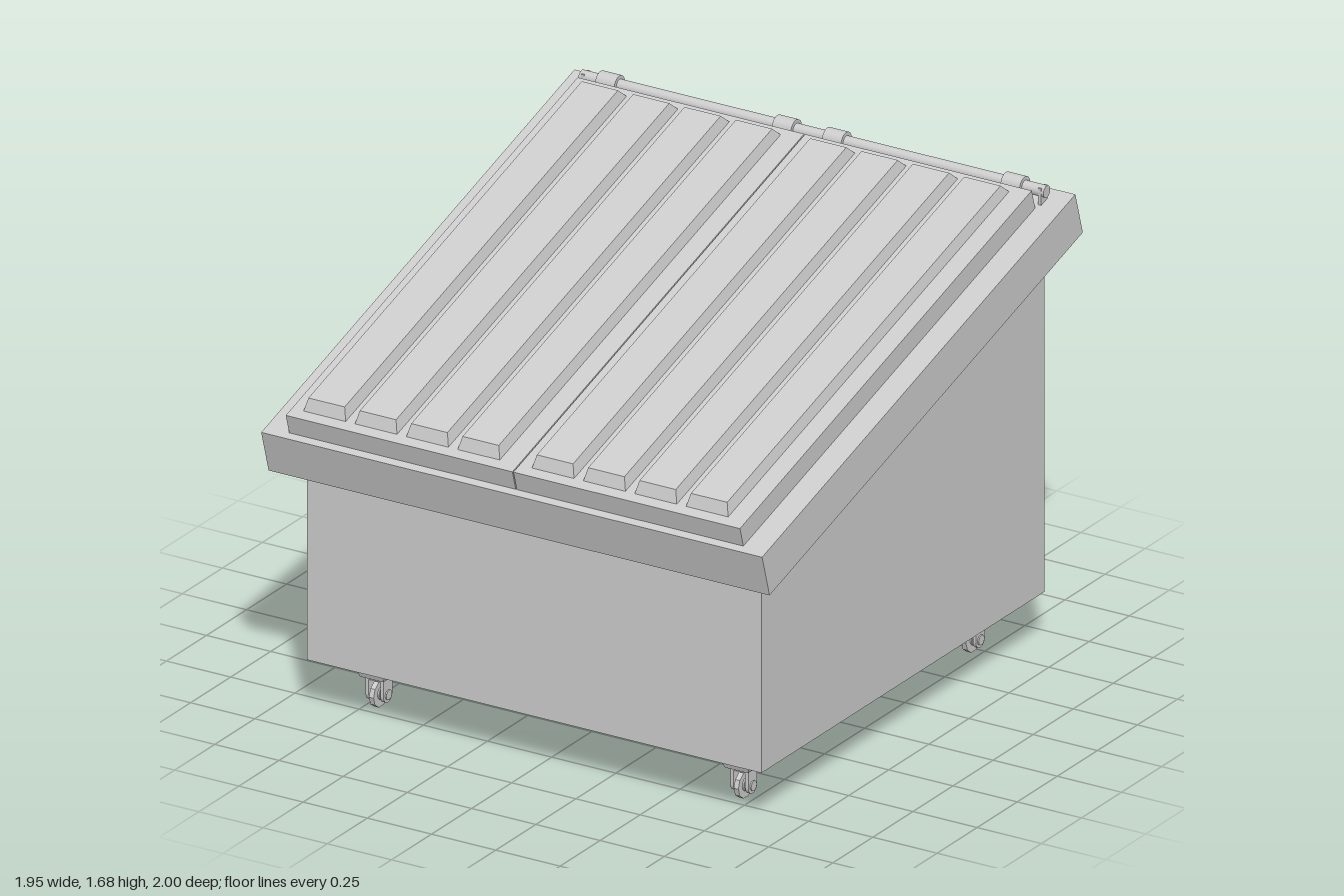
import * as THREE from 'three';

const material = new THREE.MeshStandardMaterial({ color: 0xcccccc });
const flat = new THREE.MeshStandardMaterial({ color: 0xcccccc, flatShading: true });
const SLOPE = Math.atan(0.299);

function add(parent, name, geometry, x = 0, y = 0, z = 0, mat = material) {
  const mesh = new THREE.Mesh(geometry, mat);
  mesh.name = name;
  mesh.position.set(x, y, z);
  parent.add(mesh);
  return mesh;
}

const box = (w, h, d) => new THREE.BoxGeometry(w, h, d);

// Cylinder lying along x
const rod = (r, length, sides = 16) =>
  new THREE.CylinderGeometry(r, r, length, sides).rotateZ(Math.PI / 2);

// Box whose top (or bottom) face is drawn in on all sides
function taperedBox(w, h, d, insetX, insetZ, end = 1) {
  const g = box(w, h, d);
  const p = g.attributes.position;
  for (let i = 0; i < p.count; i++) {
    if (p.getY(i) * end > 0) {
      p.setX(i, p.getX(i) - Math.sign(p.getX(i)) * insetX);
      p.setZ(i, p.getZ(i) - Math.sign(p.getZ(i)) * insetZ);
    }
  }
  g.computeVertexNormals();
  return g;
}

// Bin body: side profile (z, y) extruded across x
function makeBody(parent) {
  const profile = new THREE.Shape([
    [-0.86, 0.19], [0.905, 0.19], [0.905, 1.47], [-0.86, 0.94],
  ].map(([a, b]) => new THREE.Vector2(a, b)));
  const g = new THREE.ExtrudeGeometry(profile, { depth: 1.77, bevelEnabled: false });
  g.translate(0, 0, -0.885).rotateY(Math.PI / 2);
  add(parent, 'body', g);
}

// Sloping top: rim slab and two ribbed lids, built flat and then tilted
function makeTop(parent) {
  const top = new THREE.Group();
  top.name = 'slopingTop';
  top.position.set(0, 1.04, 1);
  top.rotation.x = SLOPE;
  parent.add(top);
  add(top, 'rim', box(1.95, 0.161, 2.04), 0, -0.0805, -1.02);

  for (const [side, firstRib] of [[-1, -0.757], [1, 0.132]]) {
    const lid = new THREE.Group();
    lid.name = side > 0 ? 'leftLid' : 'rightLid';
    top.add(lid);
    add(lid, 'lidPanel', box(0.882, 0.075, 1.9), side * 0.443, 0.0365, -0.98);
    for (let i = 0; i < 4; i++) {
      add(lid, 'lidRib', taperedBox(0.165, 0.042, 1.832, 0.012, 0.026),
        firstRib + i * 0.2, 0.093, -0.985);
    }
  }
}

// Hinge rod with sleeves and end brackets along the high back edge
function makeHinge(parent) {
  const hinge = new THREE.Group();
  hinge.name = 'hinge';
  hinge.position.set(0, 1.643, -0.888);
  parent.add(hinge);
  add(hinge, 'hingeRod', rod(0.021, 1.81));
  for (const x of [-0.795, -0.107, 0.088, 0.783]) {
    add(hinge, 'hingeSleeve', rod(0.034, 0.074), x);
    add(hinge, 'hingeLeaf', box(0.074, 0.02, 0.07), x, -0.014, 0.04).rotation.x = SLOPE;
  }
  for (const x of [-0.89, 0.89]) {
    add(hinge, 'hingeBracket', box(0.012, 0.07, 0.04), x, -0.02, 0);
  }
}

// Swivel caster: tapered mount, fork, axle and thin wheel
function makeCaster(parent, x, z) {
  const caster = new THREE.Group();
  caster.name = 'caster';
  caster.position.set(x, 0, z);
  parent.add(caster);
  add(caster, 'casterMount', taperedBox(0.15, 0.078, 0.15, 0.03, 0.03, -1), 0, 0.152, 0);
  add(caster, 'forkCrown', box(0.07, 0.014, 0.056), 0, 0.108, 0);
  for (const side of [-1, 1]) {
    add(caster, 'forkArm', box(0.012, 0.066, 0.056), side * 0.029, 0.081, 0);
    add(caster, 'forkEnd', rod(0.028, 0.012), side * 0.029, 0.05, 0);
  }
  add(caster, 'axle', rod(0.018, 0.08, 12), 0, 0.05, 0);
  add(caster, 'wheelHub', rod(0.024, 0.03, 12), 0, 0.05, 0);
  add(caster, 'wheel', rod(0.048, 0.018, 10), 0, 0.048, 0, flat);
}

export function createModel() {
  const model = new THREE.Group();
  model.name = 'wheeledBin';
  makeBody(model);
  makeTop(model);
  makeHinge(model);
  for (const x of [-0.71, 0.71]) {
    for (const z of [0.69, -0.73]) makeCaster(model, x, z);
  }
  return model;
}
